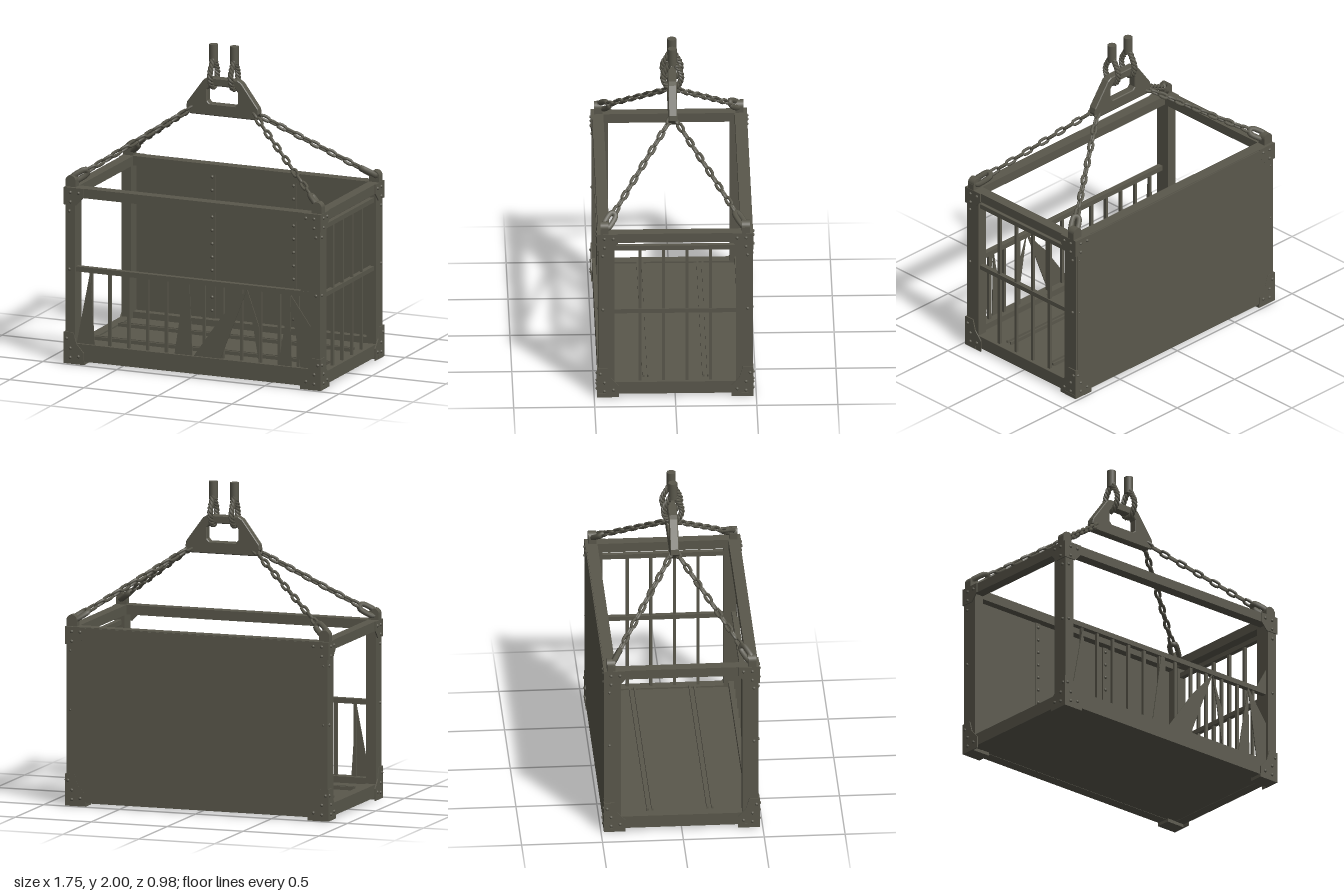
import * as THREE from 'three';

const steel = new THREE.MeshStandardMaterial({ color: 0x5a584c });
steel.name = 'weathered steel';
const sheet = new THREE.MeshStandardMaterial({ color: 0x5a584c, side: THREE.DoubleSide });
sheet.name = 'torn sheet steel';

const V = (x, y, z) => new THREE.Vector3(x, y, z);

function add(parent, name, geo, mat = steel) {
  const m = new THREE.Mesh(geo, mat);
  m.name = name;
  parent.add(m);
  return m;
}

// Box given by its limits on each axis
function box(parent, name, x0, x1, y0, y1, z0, z1) {
  const m = add(parent, name, new THREE.BoxGeometry(x1 - x0, y1 - y0, z1 - z0));
  m.position.set((x0 + x1) / 2, (y0 + y1) / 2, (z0 + z1) / 2);
  return m;
}

// Flat plate from an outline in x and y, thickened along z
function plate(parent, name, pts, z, depth) {
  const shape = new THREE.Shape(pts.map(p => new THREE.Vector2(p[0], p[1])));
  const m = add(parent, name, new THREE.ExtrudeGeometry(shape, { depth, bevelEnabled: false }), sheet);
  m.position.z = z;
  return m;
}

const rivetGeo = new THREE.SphereGeometry(0.011, 8, 4, 0, Math.PI * 2, 0, Math.PI / 2).rotateX(Math.PI / 2);
function rivet(parent, x, y, z) {
  add(parent, 'rivet', rivetGeo).position.set(x, y, z);
}

// Closed oval chain link lying along x
function linkGeometry(length, width, r) {
  const h = length / 2 - width / 2, w = width / 2 - r, pts = [];
  for (const s of [1, -1])
    for (let i = 0; i <= 4; i++) {
      const a = (i / 4 - 0.5) * Math.PI;
      pts.push(V(s * (h + w * Math.cos(a)), s * w * Math.sin(a), 0));
    }
  return new THREE.TubeGeometry(new THREE.CatmullRomCurve3(pts, true), 24, r, 6, true);
}

function placeAlong(mesh, pos, dir, roll) {
  mesh.position.copy(pos);
  mesh.quaternion.setFromUnitVectors(V(1, 0, 0), dir)
    .multiply(new THREE.Quaternion().setFromAxisAngle(V(1, 0, 0), roll));
}

function buildFrame(root) {
  const g = new THREE.Group();
  g.name = 'frame';
  root.add(g);
  for (const sx of [-1, 1]) {
    const x0 = sx > 0 ? 0.795 : -0.86, x1 = x0 + 0.065;
    for (const sz of [-1, 1]) {
      const z0 = sz > 0 ? 0.375 : -0.475;
      box(g, 'cornerPost', x0, x1, 0.02, 1.12, z0, z0 + 0.1);
      box(g, 'foot', sx > 0 ? 0.73 : -0.868, sx > 0 ? 0.868 : -0.73, 0, 0.025,
        sz > 0 ? 0.39 : -0.482, sz > 0 ? 0.482 : -0.39);
    }
    box(g, 'endTopBeam', x0, x1, 1.06, 1.12, -0.4, 0.4);
    box(g, 'endBottomBeam', x0, x1, 0.02, 0.1, -0.4, 0.4);
  }
  for (const z0 of [-0.475, 0.405]) {
    box(g, 'sideTopBeam', -0.8, 0.8, 1.06, 1.12, z0, z0 + 0.07);
    box(g, 'sideBottomBeam', -0.8, 0.8, 0.02, 0.13, z0, z0 + 0.07);
  }
  // Chamfered corner plates and rivets on all four faces
  for (let f = 0; f < 4; f++) {
    const long = f % 2 === 0;
    const w = long ? 0.868 : 0.482, d = long ? 0.475 : 0.86;
    const face = new THREE.Group();
    face.name = 'cornerPlates';
    face.rotation.y = f * Math.PI / 2;
    g.add(face);
    for (const s of [-1, 1]) {
      plate(face, 'lowerCornerPlate', [[s * w, 0], [s * (w - 0.135), 0], [s * (w - 0.135), 0.075],
        [s * (w - 0.085), 0.13], [s * (w - 0.065), 0.2], [s * w, 0.2]], d, 0.007);
      plate(face, 'upperCornerPlate', [[s * w, 1.12], [s * (w - 0.13), 1.12], [s * (w - 0.13), 1.06],
        [s * (w - 0.085), 1.01], [s * w, 1.01]], d, 0.007);
      for (const [u, y] of [[0.045, 0.04], [0.045, 0.1], [0.02, 0.16], [0.1, 0.05],
        [0.045, 1.03], [0.045, 1.09], [0.1, 1.09]])
        rivet(face, s * (w - u), y, d + 0.005);
      for (const y of [0.6, 0.97]) rivet(face, s * (w - 0.035), y, d - 0.002);
    }
  }
}

function buildFloorAndWall(root) {
  box(root, 'floor', -0.82, 0.82, 0.022, 0.09, -0.45, 0.45);
  for (const z of [-0.205, -0.175, 0.165, 0.195])
    box(root, 'floorRunner', -0.79, 0.79, 0.085, 0.112, z - 0.006, z + 0.006);
  box(root, 'backWall', -0.85, 0.85, 0.03, 1.115, -0.481, -0.455);
  for (const x of [-0.28, 0.27]) {
    box(root, 'wallSeam', x - 0.02, x + 0.02, 0.09, 1.06, -0.456, -0.448);
    for (let y = 0.18; y < 1.05; y += 0.085) rivet(root, x, y, -0.449);
  }
}

function buildRailings(root) {
  // Low front railing
  const front = new THREE.Group();
  front.name = 'frontRailing';
  root.add(front);
  box(front, 'frontRail', -0.8, 0.8, 0.585, 0.617, 0.425, 0.46);
  for (let i = 0; i < 12; i++) {
    const x = (i - 5.5) * 0.127;
    box(front, 'frontBar', x - 0.009, x + 0.009, 0.12, 0.59, 0.433, 0.451);
  }
  // Torn sheet remnants caught on the bars
  const scraps = [
    [[-0.79, 0.13], [-0.7, 0.59], [-0.67, 0.13]],
    [[-0.13, 0.13], [-0.06, 0.59], [-0.03, 0.59], [-0.01, 0.13]],
    [[0, 0.13], [0.18, 0.13], [0.36, 0.59], [0.19, 0.4]],
    [[0.36, 0.59], [0.44, 0.36], [0.44, 0.13]],
    [[0.57, 0.13], [0.65, 0.59], [0.66, 0.13]],
    [[0.65, 0.59], [0.8, 0.38], [0.8, 0.13], [0.72, 0.13]],
    [[0.72, 0.617], [0.8, 0.617], [0.8, 0.76]],
  ];
  for (const s of scraps) plate(front, 'tornSheet', s, 0.452, 0.006);

  // Full-height grille on the left end
  const end = new THREE.Group();
  end.name = 'endGrille';
  root.add(end);
  box(end, 'grilleTopRail', 0.815, 0.845, 1.0, 1.03, -0.38, 0.38);
  box(end, 'grilleMiddleRail', 0.815, 0.845, 0.567, 0.595, -0.38, 0.38);
  for (const z of [-0.218, -0.073, 0.073, 0.218])
    box(end, 'grilleBar', 0.821, 0.839, 0.09, 1.01, z - 0.009, z + 0.009);
}

function buildChains(root) {
  const link = linkGeometry(0.078, 0.044, 0.0095);
  const shackle = linkGeometry(0.15, 0.076, 0.018);
  for (const sx of [-1, 1]) for (const sz of [-1, 1]) {
    const g = new THREE.Group();
    g.name = 'cornerChain';
    root.add(g);
    const start = V(sx * 0.835, 1.155, sz * 0.43), finish = V(sx * 0.215, 1.58, sz * 0.018);
    const dir = finish.clone().sub(start), len = dir.length();
    dir.normalize();
    // Lifting lug with a rounded top
    const eye = add(g, 'liftingLug', new THREE.CylinderGeometry(0.034, 0.034, 0.05, 14).rotateX(Math.PI / 2));
    eye.position.set(sx * 0.831, 1.158, sz * 0.436);
    box(g, 'lugBase', sx * 0.831 - 0.034, sx * 0.831 + 0.034, 1.115, 1.158, sz * 0.436 - 0.025, sz * 0.436 + 0.025);
    placeAlong(add(g, 'shackle', shackle), start.clone().addScaledVector(dir, 0.055), dir, 0.4);
    const n = 13, from = 0.14;
    for (let i = 0; i < n; i++) {
      const p = start.clone().addScaledVector(dir, from + (len - from) * i / (n - 1));
      placeAlong(add(g, 'chainLink', link), p, dir, Math.PI / 4 + (i % 2) * Math.PI / 2);
    }
  }
}

// Rope strand wound around a teardrop loop in the y-z plane
class Strand extends THREE.Curve {
  constructor(path, phase) {
    super();
    this.path = path;
    this.phase = phase;
  }
  getPoint(t, target = new THREE.Vector3()) {
    const tan = this.path.getTangentAt(t), n = tan.clone().cross(V(1, 0, 0));
    const a = this.phase + t * Math.PI * 12;
    return target.copy(this.path.getPointAt(t)).addScaledVector(n, 0.009 * Math.cos(a)).add(V(0.009 * Math.sin(a), 0, 0));
  }
}

function buildLiftingGear(root) {
  // Spreader plate with a hand-shaped slot
  const shape = new THREE.Shape([[-0.215, 1.555], [0.215, 1.555], [0.24, 1.59], [0.235, 1.62], [0.125, 1.77], [0.1, 1.785],
    [-0.1, 1.785], [-0.125, 1.77], [-0.235, 1.62], [-0.24, 1.59]].map(p => new THREE.Vector2(...p)));
  const hole = [[-0.09, 1.62], [0.09, 1.62], [0.108, 1.64], [0.108, 1.715], [0.085, 1.745],
    [-0.085, 1.745], [-0.108, 1.715], [-0.108, 1.64]];
  shape.holes.push(new THREE.Path(hole.map(p => new THREE.Vector2(...p))));
  const geo = new THREE.ExtrudeGeometry(shape, { depth: 0.044, bevelThickness: 0.005, bevelSize: 0.005, bevelSegments: 1 });
  add(root, 'spreaderPlate', geo).position.z = -0.022;

  // Two rope loops ending in crimped ferrules
  const half = [[0.011, 1.91], [0.03, 1.875], [0.053, 1.83], [0.055, 1.79], [0.036, 1.748]];
  const pts = [...half, [0, 1.729], ...half.slice().reverse().map(p => [-p[0], p[1]])];
  const path = new THREE.CatmullRomCurve3(pts.map(p => V(0, p[1], p[0])));
  for (const x of [-0.07, 0.07]) {
    const g = new THREE.Group();
    g.name = 'ropeSling';
    g.position.x = x;
    root.add(g);
    for (let k = 0; k < 3; k++)
      add(g, 'ropeStrand', new THREE.TubeGeometry(new Strand(path, k * Math.PI * 2 / 3), 72, 0.01, 6));
    add(g, 'ferrule', new THREE.CylinderGeometry(0.028, 0.028, 0.11, 16)).position.y = 1.945;
  }
}

export function createModel() {
  const root = new THREE.Group();
  root.name = 'liftingCage';
  buildFrame(root);
  buildFloorAndWall(root);
  buildRailings(root);
  buildChains(root);
  buildLiftingGear(root);
  return root;
}
